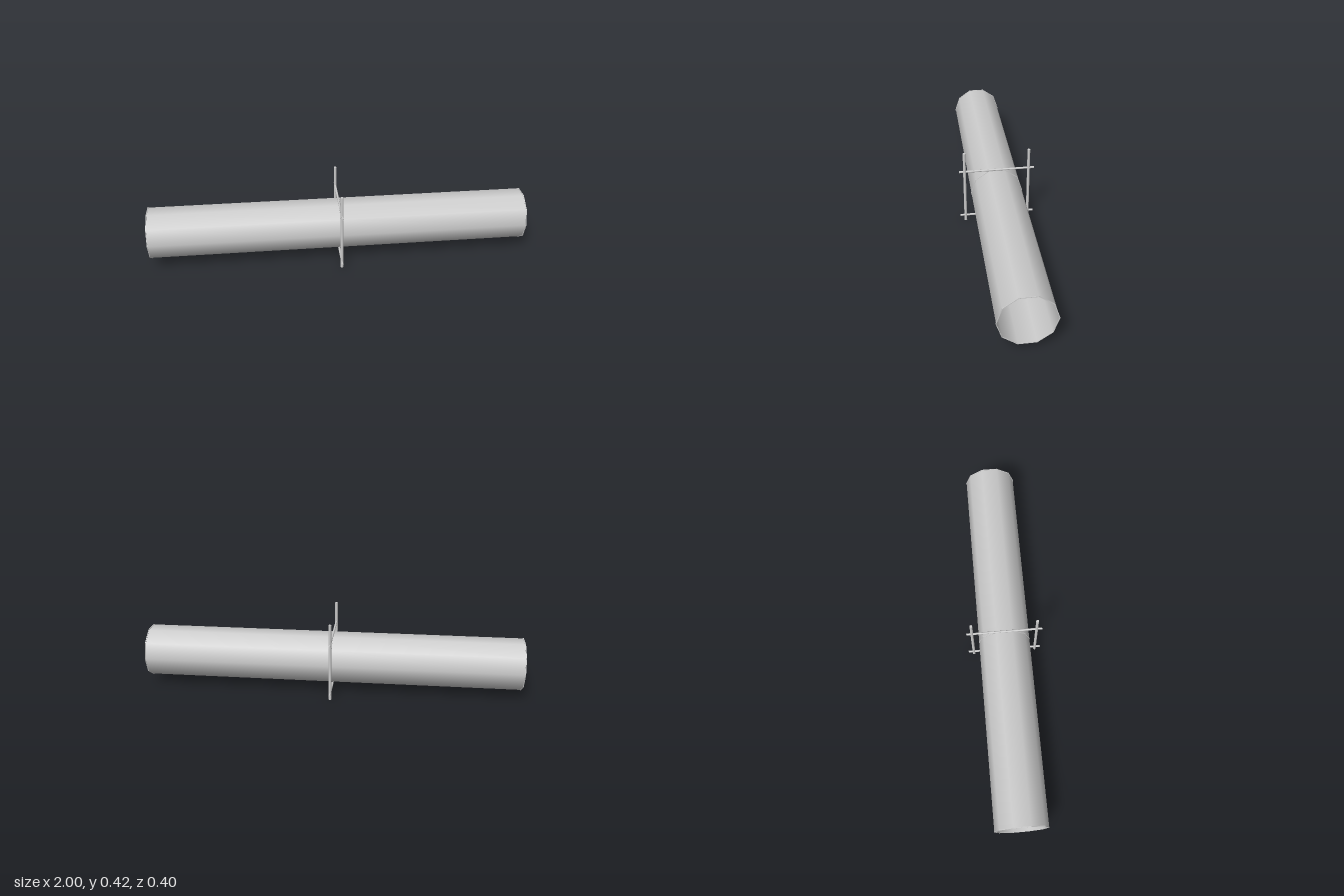
import * as THREE from 'three';

const SIDES = 10;
const AXIS_Y = 0.172;
const PIPE_R = 0.1365;
const LIP_R = 0.139;

export function createModel() {
  const group = new THREE.Group();
  const metal = new THREE.MeshStandardMaterial({ color: 0xcccccc });
  const sheet = new THREE.MeshStandardMaterial({ color: 0xcccccc, side: THREE.DoubleSide });

  const add = (name, geometry, material, x, y, z) => {
    const mesh = new THREE.Mesh(geometry, material);
    mesh.name = name;
    mesh.position.set(x, y, z);
    group.add(mesh);
    return mesh;
  };

  // Two open, thin-walled pipe lengths meeting in the middle
  const pipe = new THREE.CylinderGeometry(PIPE_R, PIPE_R, 1, SIDES, 1, true).rotateZ(Math.PI / 2);
  add('leftPipe', pipe, sheet, 0.5, AXIS_Y, 0);
  add('rightPipe', pipe, sheet, -0.5, AXIS_Y, 0);

  // Thin raised lips at both ends and at the joint
  const polygon = (r) => Array.from({ length: SIDES }, (_, i) => {
    const a = (i / SIDES) * Math.PI * 2;
    return new THREE.Vector2(r * Math.cos(a), r * Math.sin(a));
  });
  const ring = new THREE.Shape(polygon(LIP_R));
  ring.holes.push(new THREE.Path(polygon(PIPE_R - 0.001)));
  const lip = new THREE.ExtrudeGeometry(ring, { depth: 0.004, bevelEnabled: false });
  lip.translate(0, 0, -0.002).rotateY(Math.PI / 2);
  add('leftEndLip', lip, metal, 0.998, AXIS_Y, 0);
  add('jointLip', lip, metal, 0, AXIS_Y, 0);
  add('rightEndLip', lip, metal, -0.998, AXIS_Y, 0);

  // Support frame: two upright posts crossed by an upper and a lower rail
  const post = new THREE.CylinderGeometry(0.0075, 0.0075, 0.42, 10);
  add('frontPost', post, metal, 0, 0.21, 0.171);
  add('backPost', post, metal, 0, 0.21, -0.171);

  const rail = new THREE.CylinderGeometry(0.0055, 0.0055, 0.4, 10).rotateX(Math.PI / 2);
  add('upperRail', rail, metal, 0, 0.309, 0);
  add('lowerRail', rail, metal, 0, 0.033, 0);

  return group;
}
